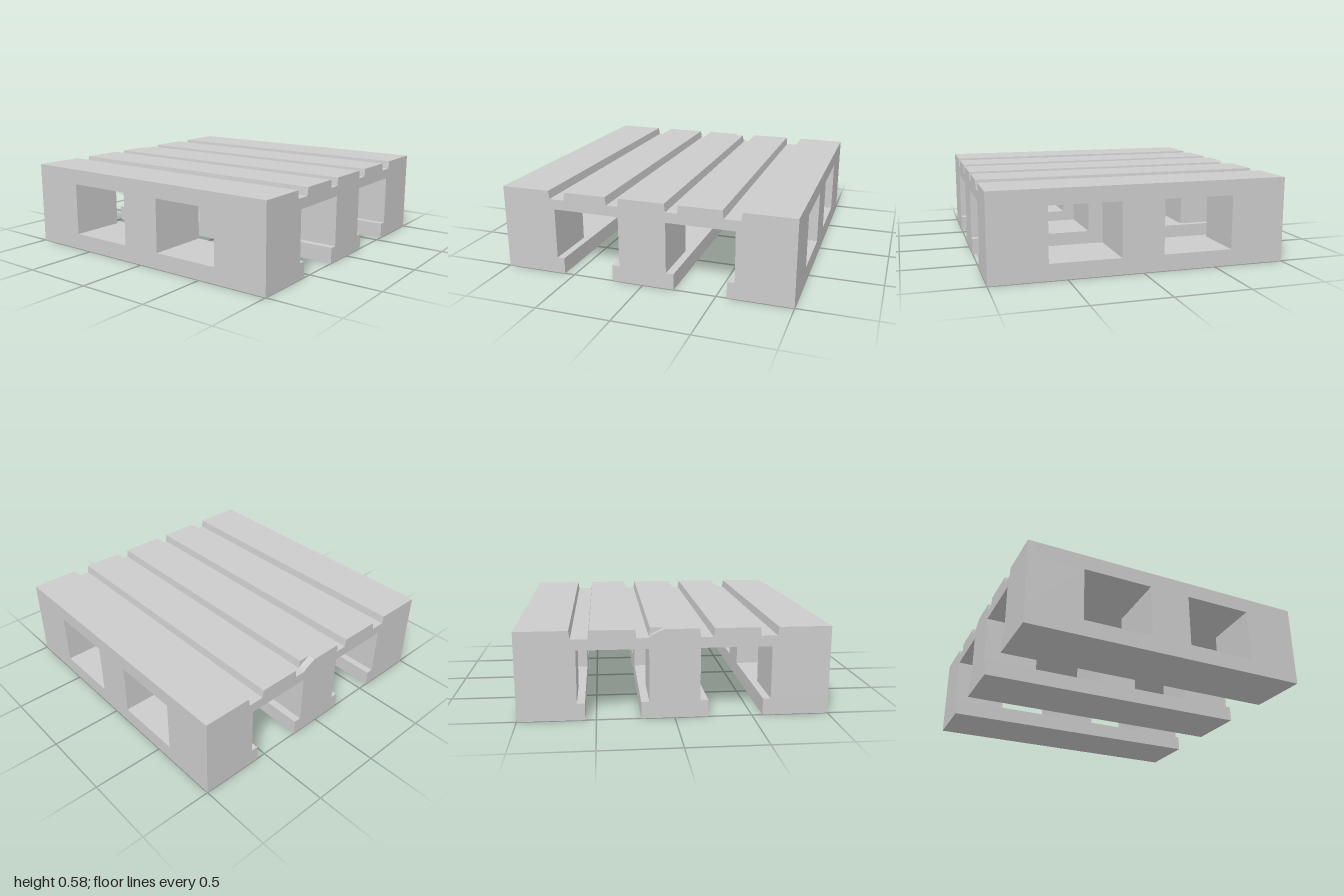
import * as THREE from 'three';

const material = new THREE.MeshStandardMaterial({ color: 0xcccccc, flatShading: true });

const TOP = 0.58, GROOVE = 0.525, UNDER = 0.455, UNDER_EDGE = 0.475, RUNNER = 0.11;

// Extrudes an x/y outline along z from z0 to z1
function slab(name, points, z0, z1) {
  const shape = new THREE.Shape(points.map(([x, y]) => new THREE.Vector2(x, y)));
  const geometry = new THREE.ExtrudeGeometry(shape, { depth: z1 - z0, bevelEnabled: false });
  geometry.translate(0, 0, z0);
  const mesh = new THREE.Mesh(geometry, material);
  mesh.name = name;
  return mesh;
}

// Deck outline: four tapered grooves on top, ceiling rising to the outer edges
function deckOutline(chipped) {
  const points = [[-1, UNDER_EDGE], [-0.62, UNDER], [0.62, UNDER], [1, UNDER_EDGE], [1, TOP]];
  const grooves = [[0.66, 0.535], [0.25, 0.155], [-0.155, -0.25], [-0.54, -0.66]];
  grooves.forEach(([right, left], i) => {
    points.push([right, TOP], [right - 0.008, GROOVE], [left + 0.008, GROOVE]);
    if (chipped && i === 1) points.push([0.15, 0.54], [0.07, TOP]);
    else points.push([left, TOP]);
  });
  points.push([-1, TOP]);
  return points;
}

// Block outline; outer blocks have a sloped top that meets the deck
const outerBlock = (side, inner) => [
  [side, RUNNER], [side * inner, RUNNER], [side * inner, UNDER],
  [side * 0.62, UNDER], [side, UNDER_EDGE],
].filter(([x, y], i) => !(i === 3 && inner === 0.62));

const middleBlock = (half) => [[-half, RUNNER], [half, RUNNER], [half, UNDER], [-half, UNDER]];

export function createModel() {
  const pallet = new THREE.Group();
  pallet.name = 'pallet';

  // Deck, with a small chip broken out of its back edge
  pallet.add(slab('deck', deckOutline(false), -0.95, 1));
  pallet.add(slab('chippedDeckEnd', deckOutline(true), -1, -0.95));

  // Runners along the full depth
  for (const [name, x0, x1] of [['rightRunner', -1, -0.57], ['middleRunner', -0.215, 0.215], ['leftRunner', 0.57, 1]]) {
    pallet.add(slab(name, [[x0, 0], [x1, 0], [x1, RUNNER], [x0, RUNNER]], -1, 1));
  }

  // Blocks: the end ones are set back from the runner edge, the centre ones are flush
  for (const [row, z0, z1, flush] of [['front', 0.62, 1, false], ['centre', -0.143, 0.145, true], ['back', -1, -0.62, false]]) {
    pallet.add(slab(row + 'RightBlock', outerBlock(-1, flush ? 0.57 : 0.62), z0, z1));
    pallet.add(slab(row + 'MiddleBlock', middleBlock(flush ? 0.215 : 0.163), z0, z1));
    pallet.add(slab(row + 'LeftBlock', outerBlock(1, flush ? 0.57 : 0.62), z0, z1));
  }
  return pallet;
}
